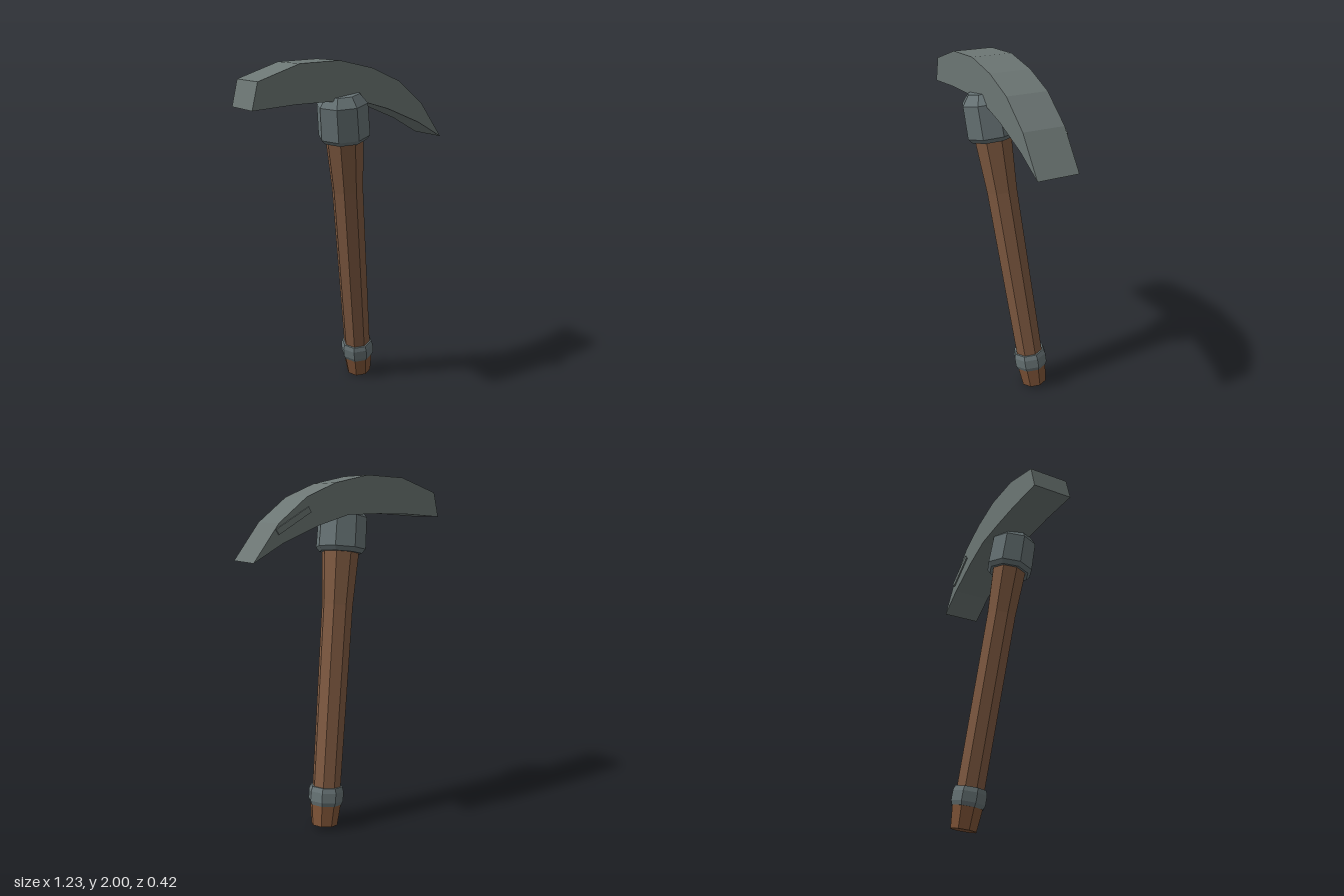
import * as THREE from 'three';

const paint = (name, color) => {
  const m = new THREE.MeshStandardMaterial({ color, flatShading: true });
  m.name = name;
  return m;
};

export function createModel() {
  const steel = paint('steel', 0x6c7674);
  const iron = paint('iron', 0x677375);
  const wood = paint('wood', 0x7f5a41);
  const darkWood = paint('butt wood', 0x805538);

  const model = new THREE.Group();
  model.name = 'pickaxe';
  const add = (parent, name, geometry, material) => {
    const mesh = new THREE.Mesh(geometry, material);
    mesh.name = name;
    parent.add(mesh);
    return mesh;
  };

  // Leaning shaft: eight-sided turned parts along one tilted axis
  const shaft = new THREE.Group();
  shaft.name = 'shaft';
  shaft.position.set(0.205, 0.015, -0.119);
  shaft.quaternion.setFromUnitVectors(
    new THREE.Vector3(0, 1, 0),
    new THREE.Vector3(-0.144, 1, 0.108).normalize()
  );
  model.add(shaft);

  // Profiles are [radius, distance along the shaft], closed at both ends
  const turned = (name, profile, material) => {
    const points = [[0, profile[0][1]], ...profile, [0, profile.at(-1)[1]]]
      .map(([r, h]) => new THREE.Vector2(r, h));
    add(shaft, name, new THREE.LatheGeometry(points, 8), material);
  };
  turned('butt', [[0.077, 0], [0.091, 0.125], [0.091, 0.15]], darkWood);
  turned('lowerRing', [[0.094, 0.122], [0.103, 0.145], [0.103, 0.2], [0.094, 0.227]], iron);
  turned('handle', [[0.083, 0.2], [0.091, 1.28], [0.109, 1.6]], wood);
  turned('headCollar', [[0.125, 1.58], [0.146, 1.605], [0.142, 1.785], [0.1, 1.838]], iron);

  // Curved head: blunt on one end, pointed on the other
  const outline = [
    [-0.615, 1.77], [-0.37, 1.787], [-0.17, 1.79], [0.03, 1.785], [0.22, 1.73],
    [0.44, 1.64], [0.61, 1.545], [0.46, 1.745], [0.29, 1.88], [0.11, 1.955],
    [-0.1, 2], [-0.34, 1.99], [-0.58, 1.91],
  ].map(([x, y]) => new THREE.Vector2(x, y));
  const headGeometry = new THREE.ExtrudeGeometry(new THREE.Shape(outline), {
    depth: 0.235, bevelEnabled: false,
  });
  add(model, 'head', headGeometry, steel).position.z = -0.106;

  // Thin raised bar on the back of the pointed end
  const bar = add(model, 'backBar', new THREE.BoxGeometry(0.226, 0.032, 0.009), steel);
  bar.position.set(0.375, 1.757, -0.11);
  bar.rotation.z = -0.53;

  return model;
}
